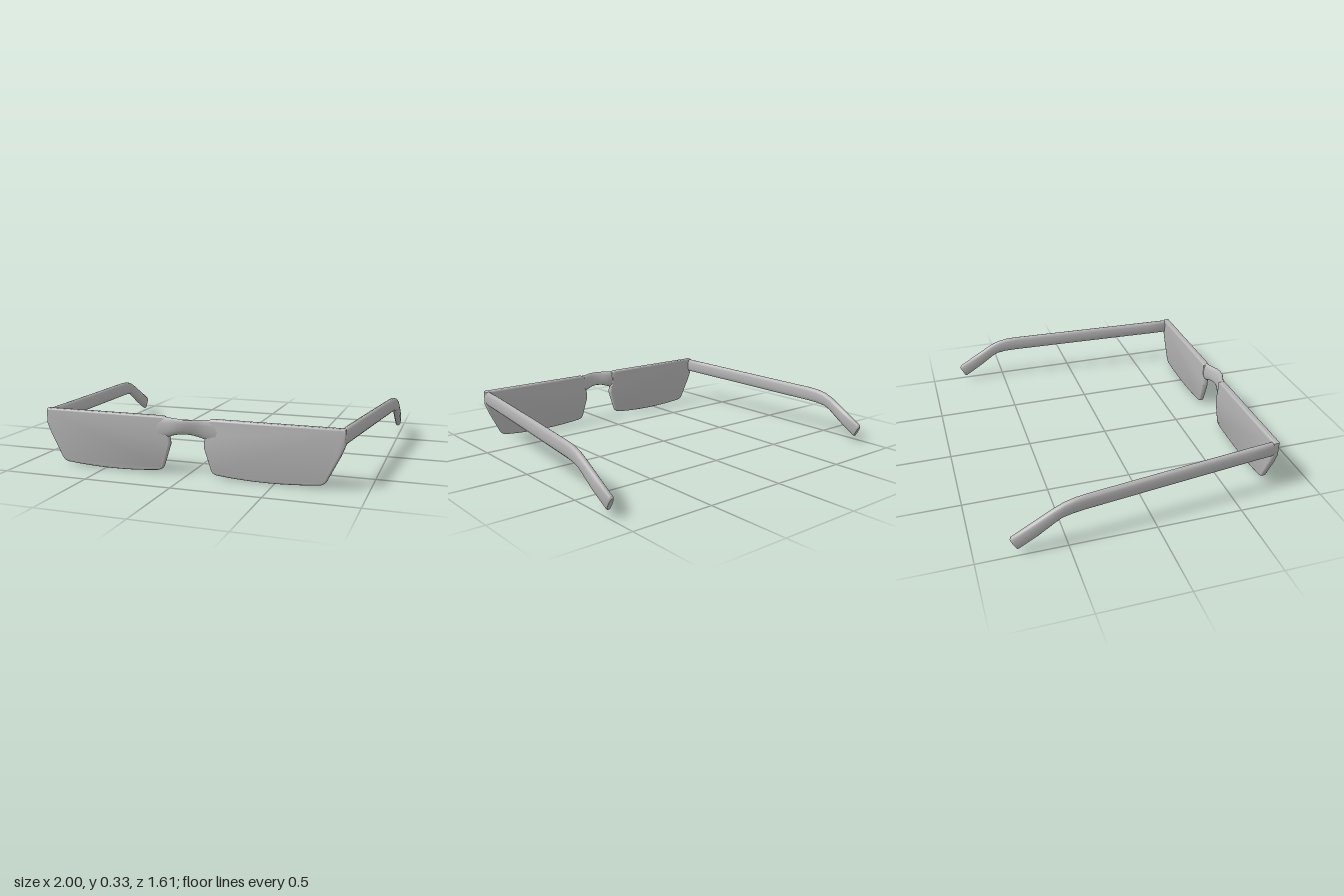
import * as THREE from 'three';
import { toCreasedNormals } from 'three/addons/utils/BufferGeometryUtils.js';

const SIDES = 16;

// Skin over rounded cross-sections, each given by its top point, bottom point and half-width vector.
function loft(sections, power) {
  const pos = [], index = [];
  const round = (t) => Math.sign(t) * Math.pow(Math.abs(t), power);
  const centres = sections.map(({ top, bottom, side }) => {
    const c = top.clone().add(bottom).multiplyScalar(0.5);
    const up = top.clone().sub(c);
    for (let j = 0; j < SIDES; j++) {
      const a = (j / SIDES) * Math.PI * 2;
      const p = c.clone().addScaledVector(side, round(Math.cos(a))).addScaledVector(up, round(Math.sin(a)));
      pos.push(p.x, p.y, p.z);
    }
    return c;
  });
  const last = sections.length - 1, first = pos.length / 3;
  for (const c of [centres[0], centres[last]]) pos.push(c.x, c.y, c.z);
  for (let j = 0; j < SIDES; j++) {
    const k = (j + 1) % SIDES;
    for (let i = 0; i < last; i++) {
      const a = i * SIDES, b = a + SIDES;
      index.push(a + j, a + k, b + j, a + k, b + k, b + j);
    }
    index.push(first, k, j, first + 1, last * SIDES + j, last * SIDES + k);
  }
  const g = new THREE.BufferGeometry();
  g.setAttribute('position', new THREE.Float32BufferAttribute(pos, 3));
  g.setIndex(index);
  return toCreasedNormals(g, 0.8);
}

// Lens plate with an angled outer edge and a notch towards the nose.
function lensGeometry() {
  const s = new THREE.Shape();
  s.moveTo(0.14, 0.33);
  s.lineTo(0.118, 0.318);
  s.lineTo(0.115, 0.235);
  s.quadraticCurveTo(0.1, 0.215, 0.1, 0.17);
  s.lineTo(0.14, 0.045);
  s.quadraticCurveTo(0.147, 0.023, 0.18, 0.018);
  s.quadraticCurveTo(0.45, -0.011, 0.74, 0.018);
  s.quadraticCurveTo(0.77, 0.022, 0.782, 0.045);
  s.lineTo(0.85, 0.18);
  s.lineTo(0.874, 0.24);
  s.lineTo(0.874, 0.325);
  s.lineTo(0.865, 0.33);
  s.closePath();
  const g = new THREE.ExtrudeGeometry(s, {
    depth: 0.016, bevelEnabled: true, bevelThickness: 0.012, bevelSize: 0.012,
    bevelOffset: -0.012, bevelSegments: 4, curveSegments: 8,
  });
  // Thin the plate slightly towards its lower edge.
  const p = g.attributes.position;
  for (let i = 0; i < p.count; i++) {
    const k = 0.8 + 0.25 * (p.getY(i) / 0.33);
    p.setZ(i, 0.747 + (p.getZ(i) - 0.008) * k);
  }
  return toCreasedNormals(g, 0.7);
}

// Temple arm: x, half width, top (y, z), bottom (y, z), from hinge to ear tip.
const ARM = [
  [0.855, 0.014, 0.318, 0.764, 0.245, 0.764],
  [0.855, 0.019, 0.326, 0.755, 0.237, 0.755],
  [0.868, 0.02, 0.322, 0.6, 0.232, 0.6],
  [0.916, 0.02, 0.306, 0.1, 0.216, 0.1],
  [0.964, 0.02, 0.291, -0.38, 0.199, -0.4],
  [0.971, 0.021, 0.285, -0.45, 0.195, -0.465],
  [0.976, 0.021, 0.272, -0.51, 0.184, -0.525],
  [0.979, 0.021, 0.246, -0.57, 0.166, -0.56],
  [0.979, 0.021, 0.18, -0.685, 0.1, -0.655],
  [0.977, 0.019, 0.113, -0.8, 0.036, -0.76],
  [0.977, 0.013, 0.1, -0.806, 0.032, -0.77],
];

function armGeometry(sx) {
  return loft(ARM.map(([x, w, ty, tz, by, bz]) => ({
    top: new THREE.Vector3(sx * x, ty, tz),
    bottom: new THREE.Vector3(sx * x, by, bz),
    side: new THREE.Vector3(-w, 0, 0),
  })), 0.75);
}

// Bridge: x, top (y, z), bottom (y, z), half depth; mirrored about the middle.
const BRIDGE = [
  [0.19, 0.325, 0.748, 0.19, 0.748, 0.018],
  [0.15, 0.328, 0.75, 0.205, 0.748, 0.021],
  [0.11, 0.326, 0.757, 0.214, 0.752, 0.021],
  [0.075, 0.326, 0.771, 0.226, 0.757, 0.02],
  [0.04, 0.327, 0.786, 0.236, 0.765, 0.018],
  [0, 0.327, 0.793, 0.239, 0.769, 0.017],
];

function bridgeGeometry() {
  const mirrored = BRIDGE.slice(0, -1).reverse().map(([x, ...rest]) => [-x, ...rest]);
  return loft([...BRIDGE, ...mirrored].map(([x, ty, tz, by, bz, d]) => ({
    top: new THREE.Vector3(x, ty, tz),
    bottom: new THREE.Vector3(x, by, bz),
    side: new THREE.Vector3(0, 0, d),
  })), 0.85);
}

export function createModel() {
  const model = new THREE.Group();
  model.name = 'glasses';
  const grey = new THREE.MeshStandardMaterial({ color: 0xb4b4b4 });
  grey.name = 'grey';

  const add = (name, geometry) => {
    const mesh = new THREE.Mesh(geometry, grey);
    mesh.name = name;
    model.add(mesh);
    return mesh;
  };

  add('leftLens', lensGeometry());
  add('rightLens', lensGeometry()).scale.x = -1;
  add('bridge', bridgeGeometry());
  add('leftArm', armGeometry(1));
  add('rightArm', armGeometry(-1));
  return model;
}
